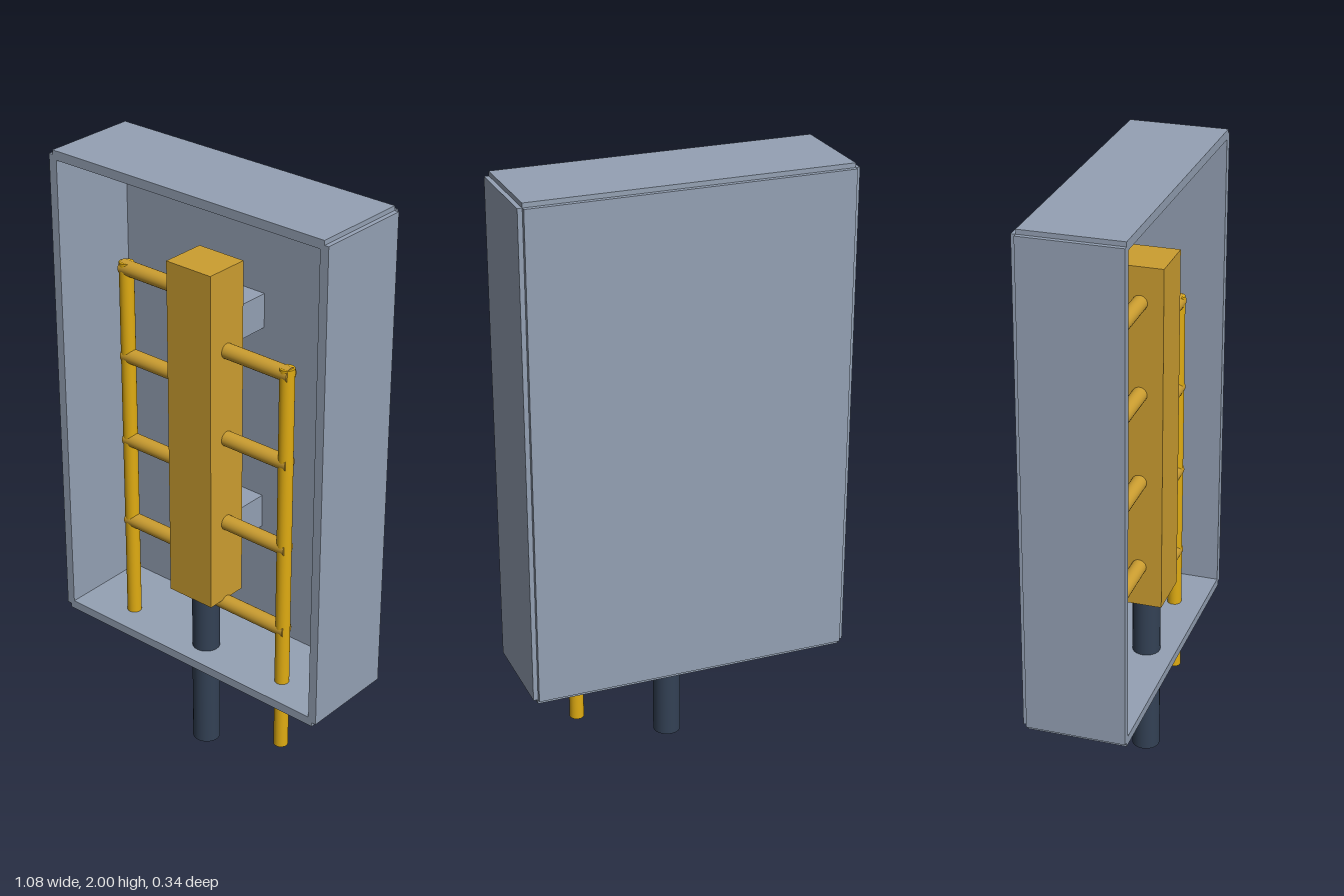
import * as THREE from 'three';

export function createModel() {
  const model = new THREE.Group();
  model.name = 'manifoldCabinet';

  const material = (name, color) => {
    const m = new THREE.MeshStandardMaterial({ color });
    m.name = name;
    return m;
  };
  const grey = material('cabinetGrey', 0x94a1b4);
  const brass = material('brass', 0xcc9e30);
  const yellow = material('pipeYellow', 0xe0ac12);
  const navy = material('supplyNavy', 0x334155);

  const add = (name, geometry, mat, x, y, z, parent = model) => {
    const mesh = new THREE.Mesh(geometry, mat);
    mesh.name = name;
    mesh.position.set(x, y, z);
    parent.add(mesh);
    return mesh;
  };
  // Box given by its lower and upper corners
  const box = (name, mat, [x0, y0, z0], [x1, y1, z1], parent) =>
    add(name, new THREE.BoxGeometry(x1 - x0, y1 - y0, z1 - z0), mat,
      (x0 + x1) / 2, (y0 + y1) / 2, (z0 + z1) / 2, parent);
  // Upright round pipe from y0 to y1
  const pipe = (name, mat, r, x, y0, y1, z, parent) =>
    add(name, new THREE.CylinderGeometry(r, r, y1 - y0, 24), mat, x, (y0 + y1) / 2, z, parent);

  // Open-fronted cabinet of five panels whose outer edges are notched
  const cabinet = new THREE.Group();
  cabinet.name = 'cabinet';
  model.add(cabinet);
  box('backPanel', grey, [-0.525, 0.355, -0.17], [0.525, 1.985, -0.14], cabinet);
  box('topPanel', grey, [-0.525, 1.97, -0.155], [0.525, 2, 0.17], cabinet);
  box('bottomPanel', grey, [-0.525, 0.34, -0.155], [0.525, 0.37, 0.17], cabinet);
  box('leftPanel', grey, [0.51, 0.355, -0.155], [0.54, 1.985, 0.17], cabinet);
  box('rightPanel', grey, [-0.54, 0.355, -0.155], [-0.51, 1.985, 0.17], cabinet);

  // Manifold body, held to the back panel by two brackets
  const axisZ = 0.07;
  box('manifoldBody', brass, [-0.087, 0.587, axisZ - 0.076], [0.087, 1.752, axisZ + 0.076]);
  for (const y of [0.81, 1.53]) {
    box('bracket', grey, [-0.06, y - 0.058, -0.145], [0.06, y + 0.058, 0]);
  }

  // Supply pipe entering from below
  pipe('supplyPipe', navy, 0.046, 0, 0, 0.6, axisZ);

  // Riser and four branches on each side, staggered in height
  for (const [side, sign, bottom, top] of [['left', 1, 0.12, 1.5], ['right', -1, 0.275, 1.655]]) {
    const bank = new THREE.Group();
    bank.name = side + 'Bank';
    model.add(bank);
    pipe(side + 'Riser', yellow, 0.024, sign * 0.322, bottom, top, axisZ, bank);
    for (let i = 0; i < 4; i++) {
      const branch = add(side + 'Branch', new THREE.CylinderGeometry(0.025, 0.025, 0.31, 24),
        brass, sign * 0.182, top - 0.02 - i * 0.303, axisZ, bank);
      branch.rotation.z = Math.PI / 2;
    }
  }

  return model;
}
